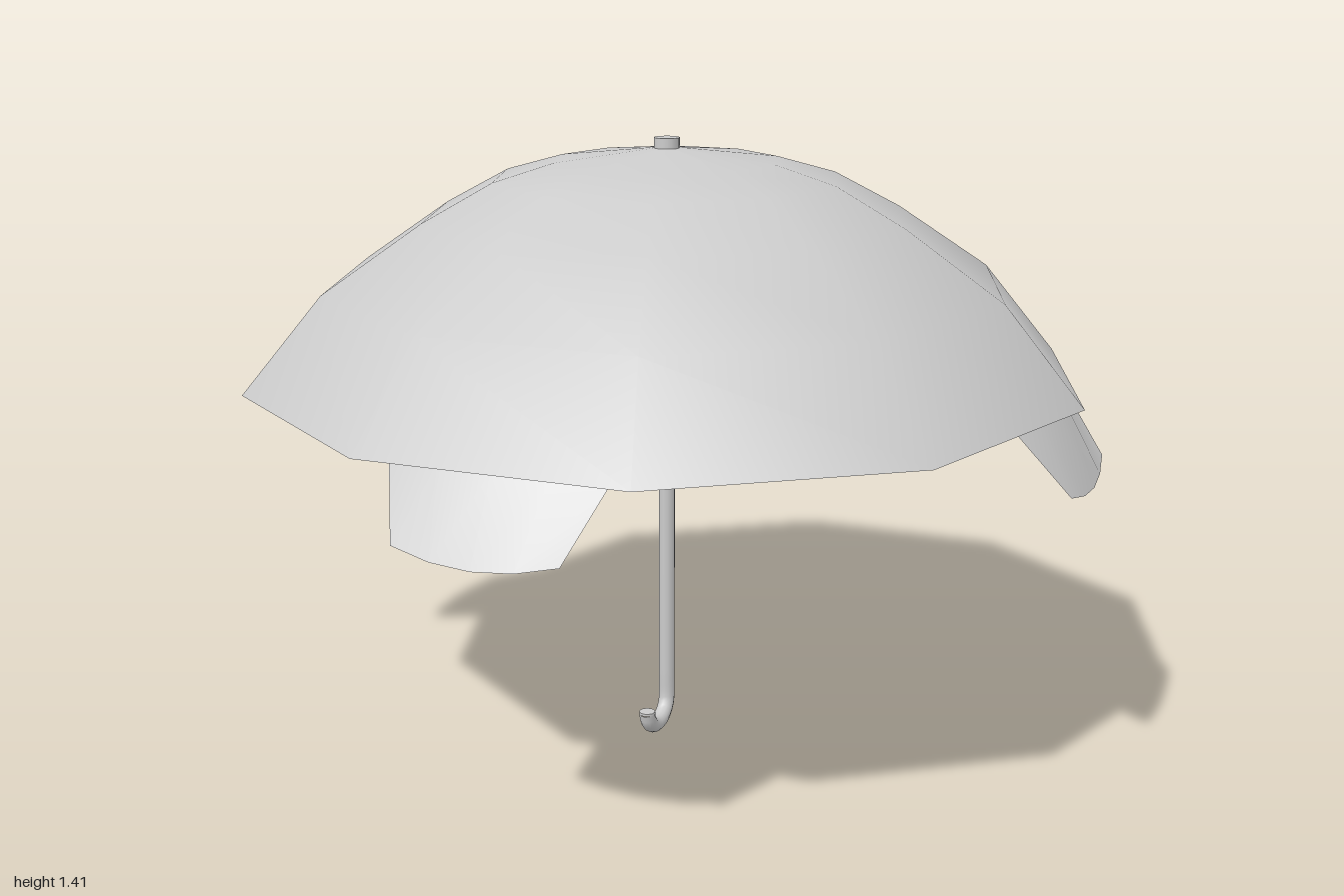
import * as THREE from 'three';

const solid = new THREE.MeshStandardMaterial({ color: 0xcccccc });
const cloth = new THREE.MeshStandardMaterial({ color: 0xcccccc, side: THREE.DoubleSide });

function add(parent, name, geometry, material) {
  const mesh = new THREE.Mesh(geometry, material);
  mesh.name = name;
  parent.add(mesh);
  return mesh;
}

// One curved hanging panel running from the crown outwards along +z.
// Each row is [radius, height, half width].
function panelGeometry() {
  const rows = [
    [0.02, 1.385, 0.015], [0.24, 1.355, 0.19], [0.365, 1.315, 0.26], [0.515, 1.235, 0.32],
    [0.725, 1.085, 0.33], [0.9, 0.875, 0.24], [0.996, 0.705, 0.18],
  ];
  const cols = 4;
  const positions = [];
  const index = [];
  rows.forEach(([r, y, w], i) => {
    const lift = i === rows.length - 1 ? 0.025 : 0; // raised corners on the hem
    for (let j = 0; j <= cols; j++) {
      const t = (j / cols) * 2 - 1;
      positions.push(w * t, y + lift * t * t, Math.sqrt(r * r - w * w * t * t));
    }
    if (i === 0) return;
    for (let j = 0; j < cols; j++) {
      const a = (i - 1) * (cols + 1) + j;
      const c = a + cols + 1;
      index.push(a, c, a + 1, a + 1, c, c + 1);
    }
  });
  const geometry = new THREE.BufferGeometry();
  geometry.setAttribute('position', new THREE.Float32BufferAttribute(positions, 3));
  geometry.setIndex(index);
  geometry.computeVertexNormals();
  return geometry;
}

// Straight shaft that ends in a half-round hook pointing forwards.
function shaftPath() {
  const points = [new THREE.Vector3(0, 1.4, 0), new THREE.Vector3(0, 0.7, 0), new THREE.Vector3(0, 0.14, 0)];
  for (let i = 0; i <= 8; i++) {
    const a = (i / 8) * Math.PI;
    points.push(new THREE.Vector3(0, 0.07 - 0.05 * Math.sin(a), 0.062 - 0.062 * Math.cos(a)));
  }
  return new THREE.CatmullRomCurve3(points);
}

export function createModel() {
  const model = new THREE.Group();
  model.name = 'umbrella';
  const body = new THREE.Group();
  body.name = 'umbrellaBody';
  body.position.z = -0.005;
  model.add(body);

  // Ten-sided domed canopy, with corners on the x axis
  const profile = [[0.966, 0.875], [0.785, 1.09], [0.56, 1.24], [0.4, 1.325], [0.26, 1.365], [0, 1.395]]
    .map(([r, y]) => new THREE.Vector2(r, y));
  add(body, 'canopy', new THREE.LatheGeometry(profile, 10).rotateY(Math.PI / 2), cloth);

  // Four panels lining the canopy and hanging below its rim
  const panel = panelGeometry();
  for (let i = 0; i < 4; i++) {
    add(body, 'hangingPanel', panel, cloth).rotation.y = (i * Math.PI) / 2;
  }

  // Shaft with hooked handle
  const path = shaftPath();
  add(body, 'shaftAndHook', new THREE.TubeGeometry(path, 96, 0.019, 12), solid);
  const tip = add(body, 'hookEnd', new THREE.CylinderGeometry(0.019, 0.019, 0.006, 12), solid);
  tip.position.set(0, 0.07, 0.124);

  // Finial on the crown
  const finial = add(body, 'finial', new THREE.CylinderGeometry(0.029, 0.029, 0.03, 16), solid);
  finial.position.y = 1.4;

  return model;
}
